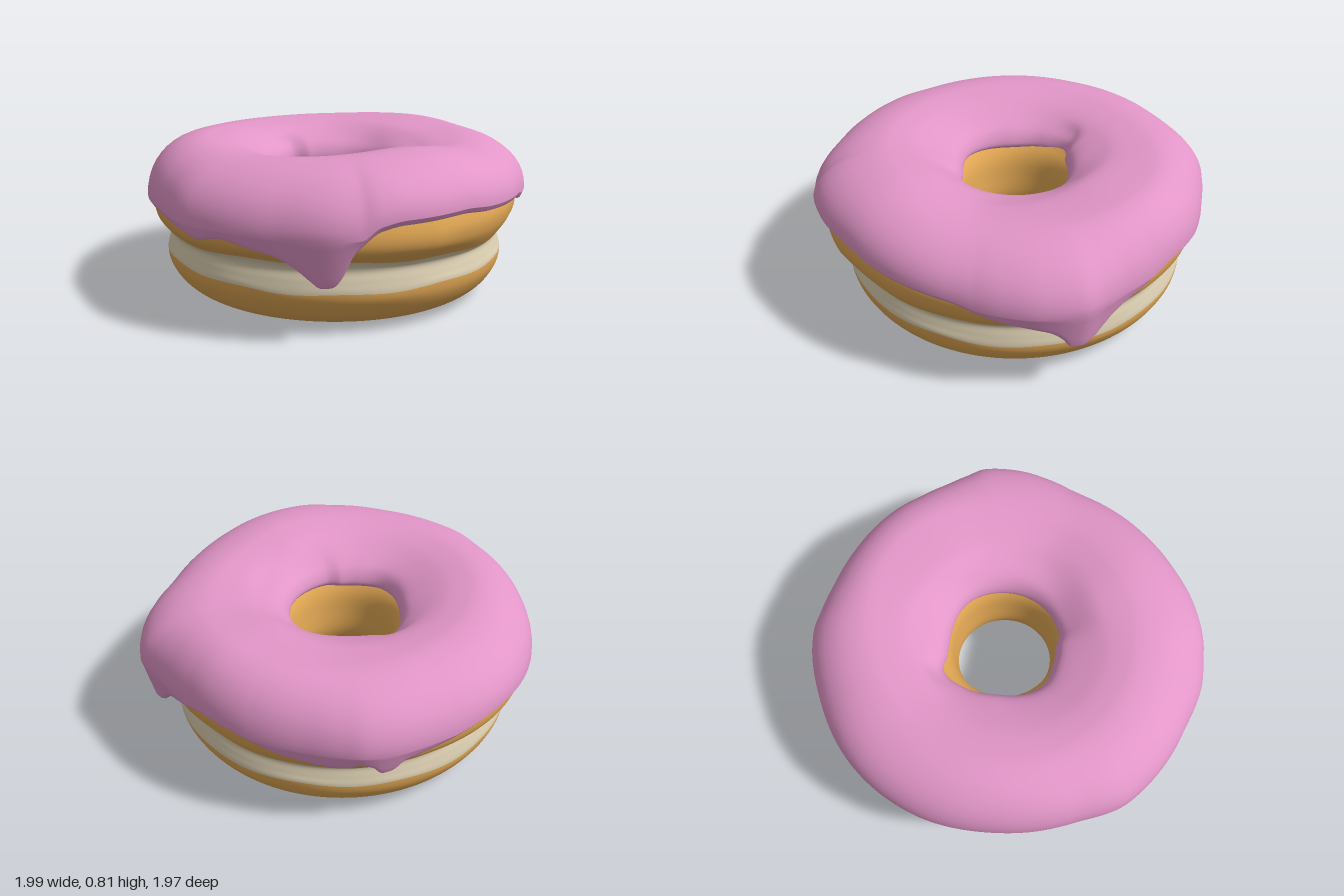
import * as THREE from 'three';

const TAU = Math.PI * 2;

// Smooth periodic curve through [degrees, value] knots
function around(knots) {
  const n = knots.length;
  const at = (i) => {
    const k = knots[((i % n) + n) % n];
    return [k[0] + 360 * Math.floor(i / n), k[1]];
  };
  const slope = (i) => {
    const [a, b, c] = [at(i - 1), at(i), at(i + 1)];
    const m0 = (b[1] - a[1]) / (b[0] - a[0]), m1 = (c[1] - b[1]) / (c[0] - b[0]);
    return m0 * m1 <= 0 ? 0 : (2 * m0 * m1) / (m0 + m1);
  };
  return (angle) => {
    let d = THREE.MathUtils.radToDeg(angle);
    while (d < knots[0][0]) d += 360;
    while (d >= knots[0][0] + 360) d -= 360;
    let i = 0;
    while (at(i + 1)[0] <= d) i++;
    const [p, q] = [at(i), at(i + 1)];
    const w = q[0] - p[0], t = (d - p[0]) / w;
    const t2 = t * t, t3 = t2 * t;
    return (2 * t3 - 3 * t2 + 1) * p[1] + (t3 - 2 * t2 + t) * w * slope(i)
      + (3 * t2 - 2 * t3) * q[1] + (t3 - t2) * w * slope(i + 1);
  };
}

// Sweep a varying (radius, height) section around the y axis
function sweep(steps, section, materialAt, materialCount) {
  const pos = [], faces = Array.from({ length: materialCount }, () => []);
  let rows = 0;
  for (let i = 0; i < steps; i++) {
    const a = (i / steps) * TAU, pts = section(a);
    rows = pts.length;
    for (const p of pts) pos.push(p.x * Math.cos(a), p.y, p.x * Math.sin(a));
  }
  for (let i = 0; i < steps; i++) {
    for (let j = 0; j < rows - 1; j++) {
      const a = i * rows + j, b = ((i + 1) % steps) * rows + j;
      faces[materialAt(((i + 0.5) / steps) * TAU, j)].push(a, b, a + 1, b, b + 1, a + 1);
    }
  }
  const geo = new THREE.BufferGeometry();
  geo.setAttribute('position', new THREE.Float32BufferAttribute(pos, 3));
  geo.setIndex(faces.flat());
  let start = 0;
  faces.forEach((f, m) => { geo.addGroup(start, f.length, m); start += f.length; });
  geo.computeVertexNormals();
  return geo;
}

// Icing outline seen from above
const icingRadius = around([
  [-90, 0.985], [-69, 0.99], [-47, 1.015], [-40, 1.0], [-29, 0.985], [-14, 0.99], [0, 0.992],
  [17, 1.01], [25, 1.04], [32, 1.075], [42, 1.062], [52, 1.03], [66, 0.99], [98, 0.985],
  [116, 1.01], [137, 1.028], [155, 1.0], [180, 1.0], [198, 0.955], [220, 0.945], [245, 0.967]]);

// Height of the icing's lower edge, with its drips
const icingEdge = around([
  [-90, 0.5], [-62, 0.45], [-57, 0.43], [-54, 0.38], [-51, 0.37], [-48.5, 0.42], [-45, 0.44],
  [-42, 0.41], [-37, 0.405], [-25, 0.43], [-12, 0.485], [0, 0.5], [12, 0.455], [18, 0.42],
  [22, 0.385], [25, 0.335], [28, 0.285], [31, 0.275], [34, 0.285], [36.5, 0.35], [40, 0.4],
  [46, 0.43], [52, 0.445], [66, 0.5], [90, 0.53], [102, 0.55], [120, 0.55], [127, 0.53],
  [131, 0.48], [134, 0.42], [136.5, 0.32], [139, 0.275], [142, 0.27], [144.5, 0.3],
  [148, 0.35], [153, 0.4], [160, 0.43], [170, 0.46], [177, 0.435], [184, 0.46], [200, 0.48],
  [225, 0.465], [250, 0.48]]);

// Height of the icing's crown
const icingTop = around([
  [0, 0.79], [30, 0.77], [60, 0.758], [105, 0.81], [150, 0.785], [180, 0.775],
  [225, 0.788], [270, 0.775], [315, 0.775]]);

// Radius of the icing's inner edge
const icingHole = around([
  [0, 0.31], [35, 0.3], [90, 0.285], [115, 0.28], [132, 0.255], [150, 0.26], [180, 0.285],
  [225, 0.27], [260, 0.31], [284, 0.345], [300, 0.3], [320, 0.29]]);

// How far the jam stain reaches inward, as a position along the dough section
const STAIN_START = 19;
const stainReach = around([
  [105, 19], [108, 20.2], [119, 20.3], [122, 19.2], [125, 19.2], [127, 20.5], [131, 20.5],
  [134, 19.8], [145, 20], [149, 20.8], [164, 20.7], [169, 19]]);

// Dough section: radius, height, zone (0 hole side, 1 lower outside, 2 upper outside)
const DOUGH = [
  [0.50, 0.005, 0], [0.42, 0.03, 0], [0.35, 0.1, 0], [0.28, 0.2, 0], [0.247, 0.3, 0],
  [0.257, 0.42, 0], [0.28, 0.52, 0], [0.33, 0.585, 0], [0.41, 0.625, 0], [0.7, 0.67, 2],
  [0.88, 0.6, 2], [0.94, 0.51, 2], [0.935, 0.42, 2], [0.885, 0.348, 1], [0.858, 0.31, 1],
  [0.87, 0.26, 1], [0.882, 0.21, 1], [0.87, 0.15, 1], [0.82, 0.075, 1], [0.74, 0.022, 1],
  [0.62, 0, 1]];
const CREAM_FROM = 13, CREAM_TO = 16, SUB = 6;

function doughSection(a) {
  const upper = Math.min(icingRadius(a), 1.0) - 0.03;
  const knots = DOUGH.map(([r, y, zone], k) => {
    const shift = 0.028 * Math.cos(a) + 0.01 * Math.sin(a);
    const radius = zone === 2 ? r * upper / 0.945 : r + shift;
    const wave = k === CREAM_FROM || k === CREAM_TO
      ? 0.007 * Math.sin(3 * a + k) + 0.004 * Math.sin(11 * a + 2 * k) : 0;
    return new THREE.Vector3(radius, y + wave, 0);
  });
  const curve = new THREE.CatmullRomCurve3(knots, true, 'catmullrom', 0.5);
  const n = knots.length * SUB;
  return Array.from({ length: n + 1 }, (_, i) => {
    const p = curve.getPoint((i % n) / n);
    return { x: p.x, y: Math.max(0, p.y) };
  });
}

function doughMaterial(angle, row) {
  const k = row / SUB;
  if (k >= CREAM_FROM && k < CREAM_TO) return 1;
  return k >= STAIN_START && k < stainReach(angle) - 0.01 ? 2 : 0;
}

function icingSection(a) {
  const R = icingRadius(a), e = icingEdge(a), H = icingTop(a), h = icingHole(a);
  const wide = Math.max(0.505, e + 0.03);
  const crown = 0.65 + 0.1 * Math.max(0, Math.cos(a)) ** 2;
  const inner = [
    [h + 0.1, 0.59], [h + 0.03, 0.568], [h + 0.008, 0.575], [h, 0.6], [h + 0.018, 0.645],
    [h + 0.06, 0.685], [0.45, H - 0.045], [0.54, H - 0.016], [crown, H]];
  const curve = new THREE.SplineCurve(inner.map(([r, y]) => new THREE.Vector2(r, y)));
  const pts = curve.getPoints(24);
  // Rounded shoulder
  for (let i = 1; i <= 12; i++) {
    const t = (i / 12) * Math.PI / 2;
    pts.push({ x: crown + (R - crown) * Math.sin(t), y: wide + (H - wide) * Math.cos(t) });
  }
  // Hanging skirt and its rounded lip, tucked against the dough
  const low = e + 0.018, foot = R - 0.006 - 0.18 * (wide - low);
  for (let i = 1; i <= 5; i++) {
    const t = i / 5;
    pts.push({ x: R + (foot - R) * t, y: wide + (low - wide) * t });
  }
  pts.push({ x: foot - 0.008, y: e + 0.005 }, { x: foot - 0.02, y: e },
    { x: foot - 0.04, y: e + 0.006 }, { x: 0.84, y: e + 0.02 });
  return pts;
}

export function createModel() {
  const material = (name, color) => {
    const m = new THREE.MeshStandardMaterial({ color });
    m.name = name;
    return m;
  };
  const dough = material('golden dough', 0xe0a653);
  const cream = material('cream', 0xdccfb2);
  const jam = material('jam', 0xe8602a);
  const pink = material('pink icing', 0xe296c8);

  const group = new THREE.Group();
  group.name = 'doughnut';

  const body = new THREE.Mesh(sweep(240, doughSection, doughMaterial, 3), [dough, cream, jam]);
  body.name = 'doughRing';

  const icing = new THREE.Mesh(sweep(360, icingSection, () => 0, 1), pink);
  icing.name = 'icing';

  group.add(body, icing);
  return group;
}
